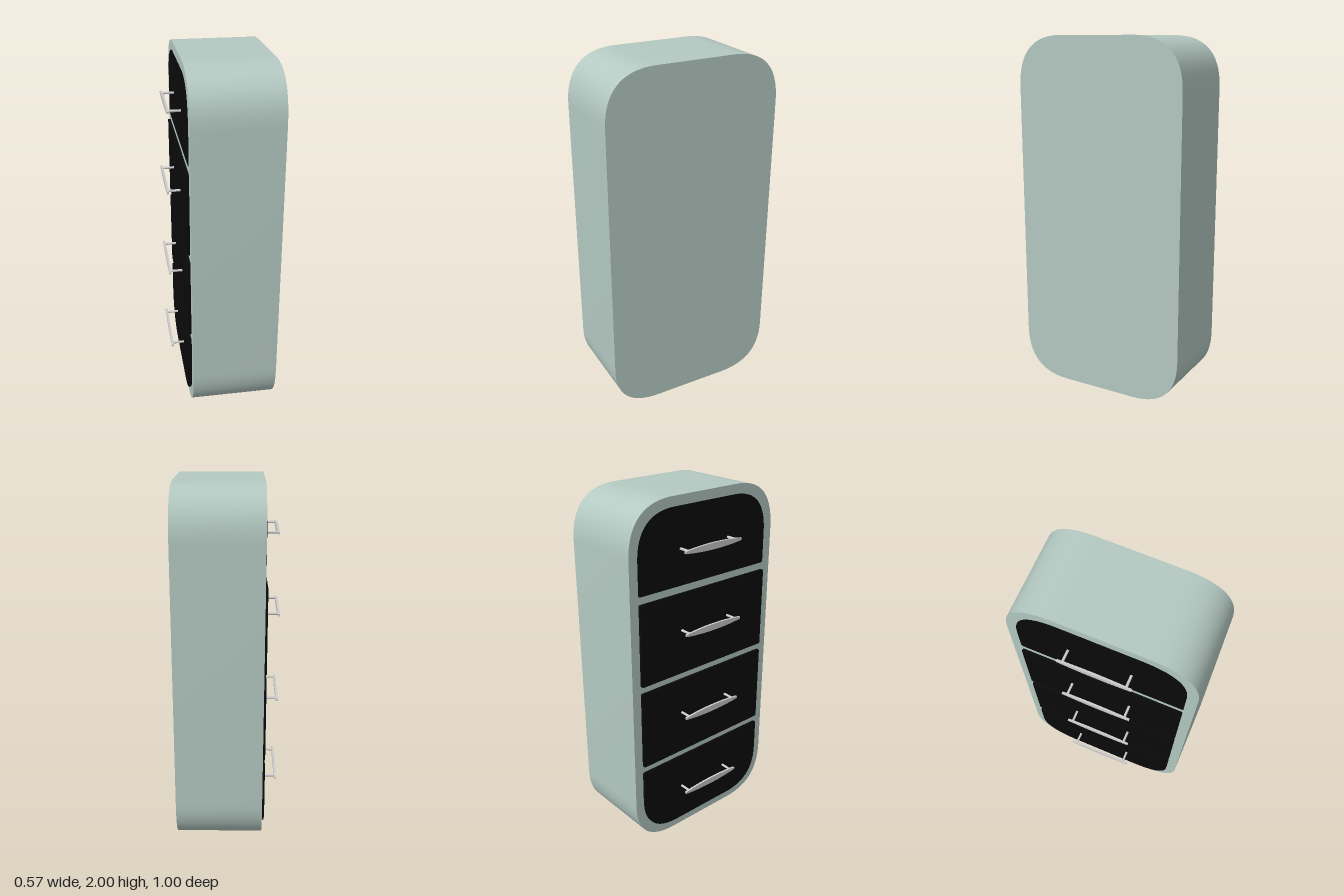
import * as THREE from 'three';
import { toCreasedNormals } from 'three/addons/utils/BufferGeometryUtils.js';

const bodyMat = new THREE.MeshStandardMaterial({ color: 0xb4c9c2 });
const drawerMat = new THREE.MeshStandardMaterial({ color: 0x0a0a0a });
const handleMat = new THREE.MeshStandardMaterial({ color: 0xcccccc });

const FACE = -0.194; // x of the cabinet face that carries the drawers
const BACK = 0.283;

// Rectangle in the z-y plane with separate bottom and top corner softening
function panelShape(halfWidth, y0, y1, rBottom, rTop) {
  const w = halfWidth, s = new THREE.Shape();
  s.moveTo(-w + rBottom, y0);
  s.lineTo(w - rBottom, y0);
  s.quadraticCurveTo(w, y0, w, y0 + rBottom);
  s.lineTo(w, y1 - rTop);
  s.quadraticCurveTo(w, y1, w - rTop, y1);
  s.lineTo(-w + rTop, y1);
  s.quadraticCurveTo(-w, y1, -w, y1 - rTop);
  s.lineTo(-w, y0 + rBottom);
  s.quadraticCurveTo(-w, y0, -w + rBottom, y0);
  return s;
}

// Extrude a z-y shape between two x positions
function slab(name, shape, xMin, xMax, material) {
  const geo = new THREE.ExtrudeGeometry(shape, { depth: xMax - xMin, bevelEnabled: false, curveSegments: 20 });
  geo.rotateY(-Math.PI / 2);
  geo.translate(xMax, 0, 0);
  const mesh = new THREE.Mesh(toCreasedNormals(geo, 0.6), material);
  mesh.name = name;
  return mesh;
}

// Bar handle: tapered grip on two round posts
function makeHandle(gripX, y) {
  const group = new THREE.Group();
  group.name = 'handle';
  const half = 0.196, end = 0.006, mid = 0.03;
  const s = new THREE.Shape();
  s.moveTo(-half, -end);
  s.quadraticCurveTo(0, -mid, half, -end);
  s.lineTo(half, end);
  s.quadraticCurveTo(0, mid, -half, end);
  s.closePath();
  group.add(slab('grip', s, gripX, gripX + 0.012, handleMat));

  const length = FACE + 0.004 - (gripX + 0.006);
  for (const z of [-0.166, 0.166]) {
    const post = new THREE.Mesh(new THREE.CylinderGeometry(0.007, 0.007, length, 16), handleMat);
    post.name = 'handlePost';
    post.rotation.z = Math.PI / 2;
    post.position.set(gripX + 0.006 + length / 2, 0, z);
    group.add(post);
  }
  group.position.set(0, y, -0.005);
  return group;
}

export function createModel() {
  const model = new THREE.Group();
  model.name = 'drawerCabinet';

  // Cabinet body
  model.add(slab('body', panelShape(0.5, 0, 2, 0.28, 0.28), FACE, BACK, bodyMat));

  // Drawers from bottom to top; the topmost sits almost flush
  const drawers = [
    { y0: 0.055, y1: 0.485, rb: 0.24, rt: 0.012, x: -0.208, handleY: 0.278 },
    { y0: 0.525, y1: 0.985, rb: 0.012, rt: 0.012, x: -0.208, handleY: 0.778 },
    { y0: 1.025, y1: 1.488, rb: 0.012, rt: 0.012, x: -0.208, handleY: 1.28 },
    { y0: 1.528, y1: 1.947, rb: 0.012, rt: 0.24, x: -0.197, handleY: 1.727 },
  ];
  for (const d of drawers) {
    const drawer = new THREE.Group();
    drawer.name = 'drawer';
    const front = slab('drawerFront', panelShape(0.445, d.y0, d.y1, d.rb, d.rt), d.x, FACE + 0.008, drawerMat);
    front.position.z = -0.002;
    drawer.add(front, makeHandle(d.x - 0.076, d.handleY));
    model.add(drawer);
  }
  return model;
}
